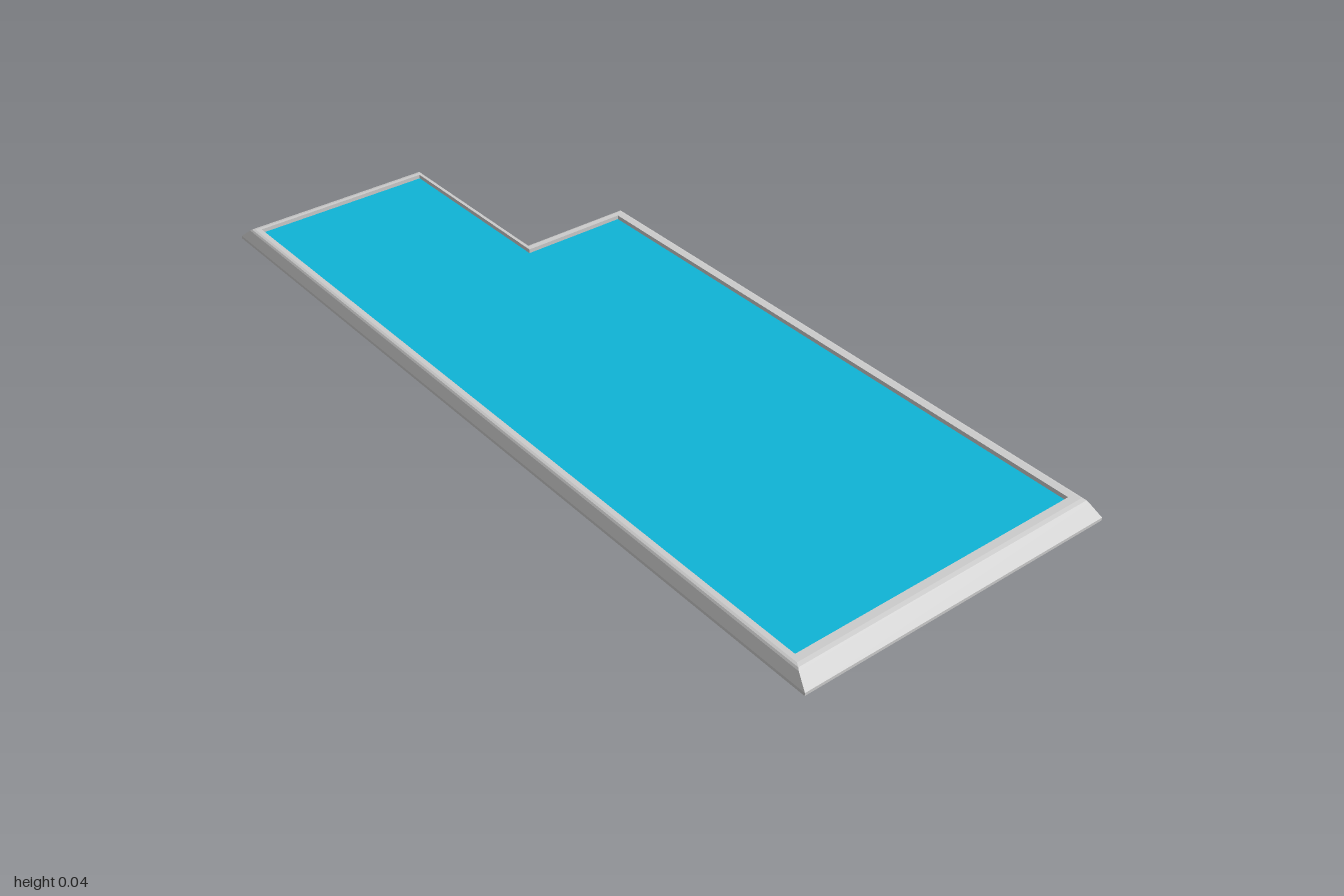
import * as THREE from 'three';

// L-shaped outline, counter-clockwise from above; (nx, nz) is the notch corner
const outline = ([x0, x1, z0, z1, nx, nz]) =>
  [[x0, z1], [x1, z1], [x1, z0], [nx, z0], [nx, nz], [x0, nz]];

// Rim cross-section from the ground up, over the lip and down to the water
const outer = [-1, 1, -0.39, 0.39, -0.51, -0.11];
const inner = [-0.95, 0.94, -0.355, 0.36, -0.475, -0.09];
const waterY = 0.027;
const rings = [
  { size: outer, y: 0 },
  { size: outer, y: 0.007 },
  { size: [-0.972, 0.972, -0.38, 0.38, -0.497, -0.102], y: 0.031 },
  { size: [-0.967, 0.967, -0.378, 0.377, -0.494, -0.1], y: 0.035 },
  { size: [-0.958, 0.958, -0.372, 0.372, -0.489, -0.097], y: 0.037 },
  { size: inner, y: 0.037 },
  { size: inner, y: waterY - 0.002 },
];

// Flat-shaded walls joining successive outlines
function loft(list) {
  const pos = [];
  for (let r = 0; r < list.length - 1; r++) {
    const lo = outline(list[r].size), hi = outline(list[r + 1].size);
    lo.forEach((p, i) => {
      const j = (i + 1) % lo.length;
      const a = [p[0], list[r].y, p[1]];
      const b = [lo[j][0], list[r].y, lo[j][1]];
      const c = [hi[j][0], list[r + 1].y, hi[j][1]];
      const d = [hi[i][0], list[r + 1].y, hi[i][1]];
      pos.push(...a, ...b, ...c, ...a, ...c, ...d);
    });
  }
  const g = new THREE.BufferGeometry();
  g.setAttribute('position', new THREE.Float32BufferAttribute(pos, 3));
  g.computeVertexNormals();
  return g;
}

// Flat sheet facing up (dir = 1) or down (dir = -1)
function sheet(size, y, dir) {
  const shape = new THREE.Shape(outline(size).map(([x, z]) => new THREE.Vector2(x, -dir * z)));
  return new THREE.ShapeGeometry(shape).rotateX(-dir * Math.PI / 2).translate(0, y, 0);
}

export function createModel() {
  const group = new THREE.Group();
  group.name = 'pool';
  const stone = new THREE.MeshStandardMaterial({ color: 0xcccccc, flatShading: true });
  const blue = new THREE.MeshStandardMaterial({ color: 0x0fb4d6 });
  const add = (name, geometry, material) => {
    const mesh = new THREE.Mesh(geometry, material);
    mesh.name = name;
    group.add(mesh);
  };
  add('rim', loft(rings), stone);
  add('underside', sheet(outer, 0, -1), stone);
  add('water', sheet(inner, waterY, 1), blue);
  return group;
}
